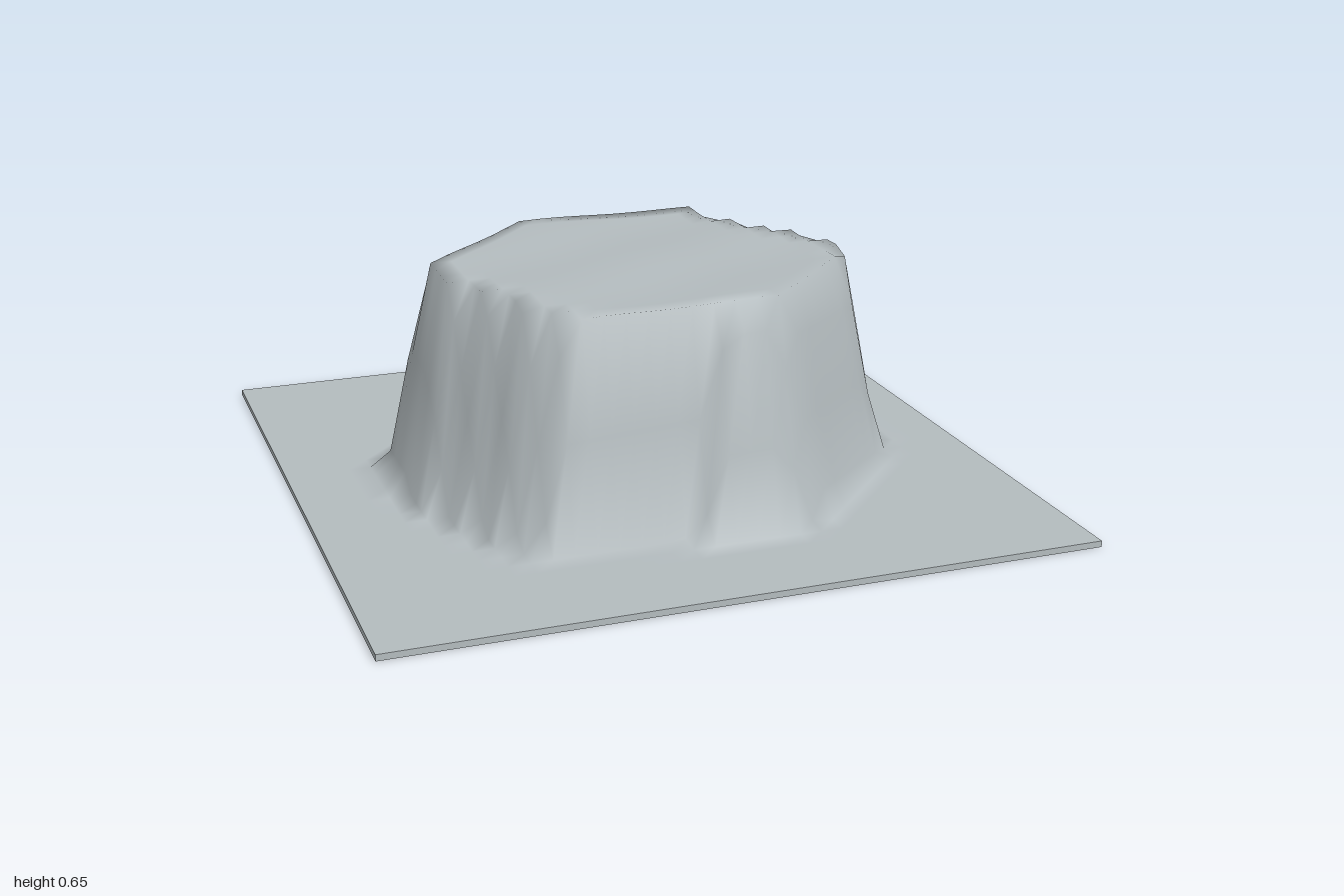
import * as THREE from 'three';

// Foot-to-rim midline of the plateau wall, as [x, z]
const OUTLINE = [
  [-0.635, 0], [-0.635, -0.18], [-0.2, -0.615], [-0.04, -0.615], [0.04, -0.585], [0.41, -0.575],
  [0.54, -0.29], [0.69, -0.07], [0.69, 0.12], [0.655, 0.2], [0.32, 0.55], [0.22, 0.61],
  [0.06, 0.61], [0, 0.565], [-0.38, 0.56], [-0.47, 0.45], [-0.62, 0.1],
];
const BASE = 0.018, TOP = 0.64, HALF_WALL = 0.062, CELLS = 32;

// Distance to the outline, positive inside
function insideDistance(x, z) {
  let best = Infinity, inside = false;
  OUTLINE.forEach(([ax, az], i) => {
    const [bx, bz] = OUTLINE[(i + 1) % OUTLINE.length];
    const dx = bx - ax, dz = bz - az;
    const t = THREE.MathUtils.clamp(((x - ax) * dx + (z - az) * dz) / (dx * dx + dz * dz), 0, 1);
    best = Math.min(best, Math.hypot(x - ax - t * dx, z - az - t * dz));
    if ((az > z) !== (bz > z) && x < ax + ((z - az) / dz) * dx) inside = !inside;
  });
  return inside ? best : -best;
}

// Steep wall between a flat foot and a gently rolling top
function heightAt(x, z) {
  const rise = THREE.MathUtils.clamp(0.5 + insideDistance(x, z) / (2 * HALF_WALL), 0, 1);
  const roll = Math.sin(x * 9 + z * 4 + 1) * Math.cos(z * 8 - x * 3);
  return BASE + rise * (TOP - BASE + 0.006 * roll);
}

export function createModel() {
  const model = new THREE.Group();
  const stone = new THREE.MeshStandardMaterial({ color: 0xb4bcbf });
  stone.name = 'pale grey stone';

  // Thin slab whose upper face is raised into the plateau
  const geometry = new THREE.BoxGeometry(2, BASE, 2, CELLS, 1, CELLS);
  geometry.translate(0, BASE / 2, 0);
  const p = geometry.attributes.position;
  for (let i = 0; i < p.count; i++) {
    if (p.getY(i) > BASE / 2) p.setY(i, heightAt(p.getX(i), p.getZ(i)));
  }
  geometry.computeVertexNormals();

  const terrain = new THREE.Mesh(geometry, stone);
  terrain.name = 'plateauTerrain';
  model.add(terrain);
  return model;
}
